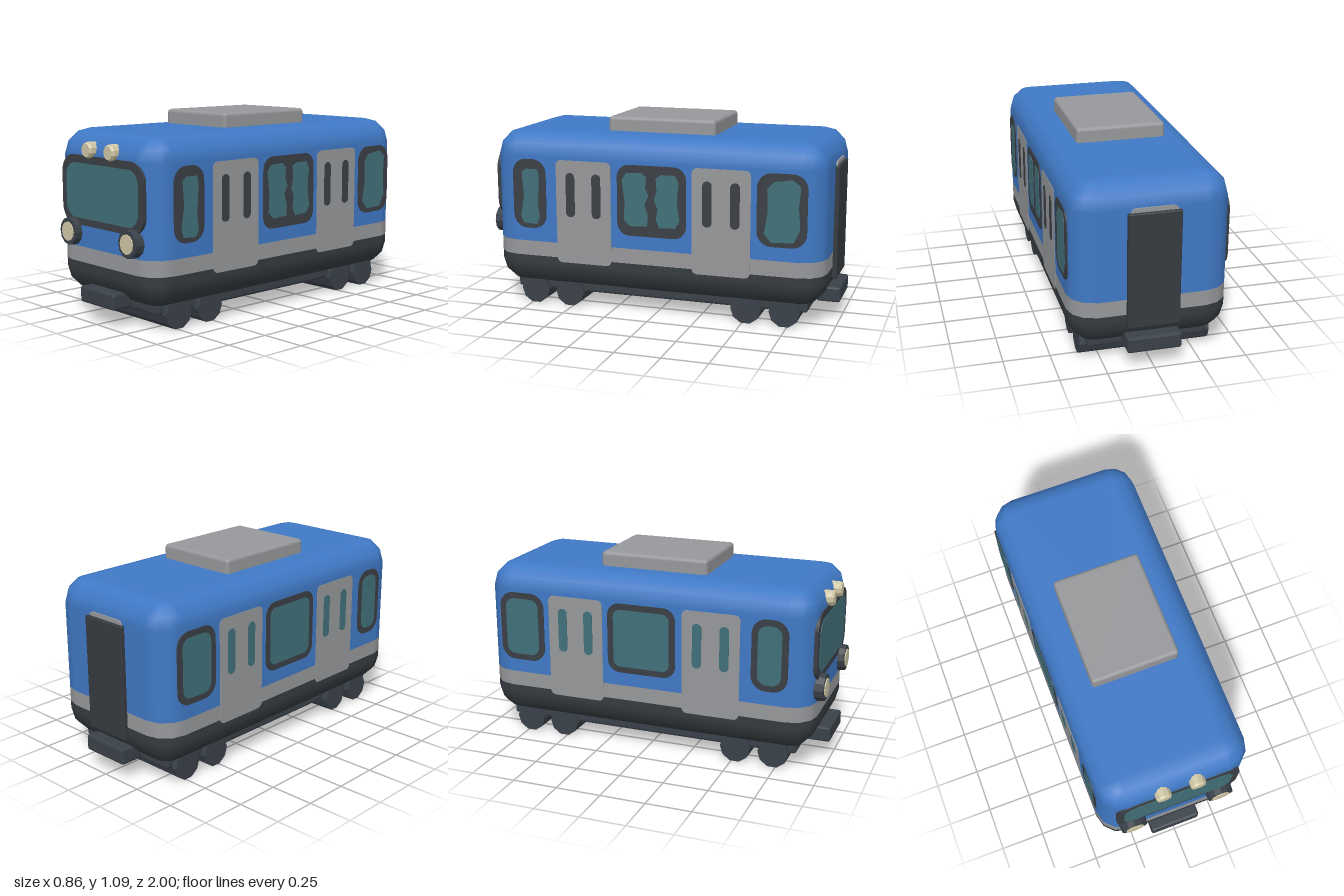
import * as THREE from 'three';
import { RoundedBoxGeometry } from 'three/addons/geometries/RoundedBoxGeometry.js';

const mat = (name, color, extra = {}) => {
  const m = new THREE.MeshStandardMaterial({ color, ...extra });
  m.name = name;
  return m;
};

export function createModel() {
  const blue = mat('bluePaint', 0x4079c6);
  const grey = mat('greyPaint', 0x97989b);
  const skirt = mat('darkSkirt', 0x363b40);
  const rubber = mat('windowRubber', 0x3b3f45);
  const iron = mat('chassisIron', 0x3a4149, { flatShading: true });
  const glass = mat('tealGlass', 0x417079);
  const cream = mat('lampCream', 0xcfc7a6, { flatShading: true });

  const train = new THREE.Group();
  train.name = 'railcar';
  const add = (name, geo, material, x = 0, y = 0, z = 0) => {
    const mesh = new THREE.Mesh(geo, material);
    mesh.name = name;
    mesh.position.set(x, y, z);
    train.add(mesh);
    return mesh;
  };

  // Body shell: rounded box made of stacked rounded rectangles, split into bands
  const W = 0.424, L = 0.952, R = 0.14, Y0 = 0.12, Y1 = 1.01;
  const row = (deg, y) => ({ a: THREE.MathUtils.degToRad(deg), y });
  const arc = (from, base) => [0, 30, 60, 90].map((d) => {
    const a = THREE.MathUtils.degToRad(from + d);
    return { a, y: base + R * Math.sin(a) };
  });
  const band = (rows) => {
    const pos = [], nor = [], idx = [], n = 17;
    for (const { a, y, cap } of rows) {
      for (let j = 0; j < n; j++) {
        const c = Math.floor((j % 16) / 4), k = j % 4;
        const t = (c * 90 + k * 30) * Math.PI / 180;
        const sx = c === 0 || c === 3 ? 1 : -1, sz = c < 2 ? 1 : -1;
        const r = R * Math.cos(a);
        pos.push(cap ? 0 : sx * (W - R) + r * Math.cos(t), y, cap ? 0 : sz * (L - R) + r * Math.sin(t));
        nor.push(Math.cos(a) * Math.cos(t), Math.sin(a), Math.cos(a) * Math.sin(t));
      }
    }
    for (let i = 0; i < rows.length - 1; i++) {
      for (let j = 0; j < n - 1; j++) {
        const p = i * n + j, q = p + n;
        idx.push(p, q, p + 1, p + 1, q, q + 1);
      }
    }
    const g = new THREE.BufferGeometry();
    g.setAttribute('position', new THREE.Float32BufferAttribute(pos, 3));
    g.setAttribute('normal', new THREE.Float32BufferAttribute(nor, 3));
    g.setIndex(idx);
    return g;
  };
  const low = row(0, 0.3), mid = row(0, 0.385);
  add('lowerSkirt', band([{ ...row(-90, Y0), cap: true }, ...arc(-90, Y0 + R), low]), skirt);
  add('bodyStripe', band([low, mid]), grey);
  add('upperBody', band([mid, ...arc(0, Y1 - R), { ...row(90, Y1), cap: true }]), blue);

  // Flat panels
  const roundRect = (cx, cy, w, h, r) => {
    const s = new THREE.Shape(), x = w / 2 - r, y = h / 2 - r, q = Math.PI / 2;
    s.absarc(cx + x, cy + y, r, 0, q);
    s.absarc(cx - x, cy + y, r, q, 2 * q);
    s.absarc(cx - x, cy - y, r, 2 * q, 3 * q);
    s.absarc(cx + x, cy - y, r, 3 * q, 4 * q);
    s.closePath();
    return s;
  };
  const plate = (shape, depth) =>
    new THREE.ExtrudeGeometry(shape, { depth, bevelEnabled: false, curveSegments: 5 });
  const sidePlate = (name, side, shape, depth, material) =>
    add(name, plate(shape, depth).rotateY(side * Math.PI / 2), material, side * 0.42);

  // Side windows: centre z, width, corner radius; the +x side has uneven panes
  const windows = [[0.72, 0.2, 0.08], [-0.003, 0.395, 0.07], [-0.725, 0.27, 0.08]];
  const panes = [
    [[0.765, 0.78], [0.74, 0.8], [0.67, 0.8], [0.66, 0.76], [0.67, 0.6], [0.66, 0.52], [0.68, 0.485],
      [0.76, 0.49], [0.775, 0.53], [0.755, 0.65]],
    [[0.165, 0.77], [0.14, 0.81], [0.05, 0.815], [0.025, 0.79], [0.03, 0.73], [0.012, 0.69], [0.035, 0.64],
      [0.015, 0.58], [0.02, 0.52], [0.12, 0.515], [0.155, 0.55], [0.15, 0.65]],
    [[-0.03, 0.79], [-0.06, 0.81], [-0.14, 0.81], [-0.16, 0.77], [-0.15, 0.66], [-0.165, 0.56], [-0.14, 0.52],
      [-0.05, 0.515], [-0.03, 0.56], [-0.04, 0.62], [-0.02, 0.67], [-0.035, 0.72]],
    [[-0.645, 0.77], [-0.68, 0.81], [-0.78, 0.825], [-0.825, 0.79], [-0.815, 0.68], [-0.825, 0.56],
      [-0.79, 0.49], [-0.67, 0.485], [-0.63, 0.53], [-0.65, 0.65]],
  ];
  for (const side of [1, -1]) {
    for (const [z, w, r] of windows) {
      sidePlate('sideWindowFrame', side, roundRect(-side * z, 0.658, w, 0.395, r), 0.007, rubber);
      if (side < 0) {
        sidePlate('sideWindowGlass', side, roundRect(z, 0.658, w - 0.07, 0.325, r - 0.03), 0.0095, glass);
      }
    }
    // Double doors with slot windows
    for (const z of [0.395, -0.395]) {
      sidePlate('sideDoor', side, roundRect(-side * z, 0.567, 0.325, 0.585, 0.03), 0.0065, grey);
      for (const dz of [-0.077, 0.077]) {
        sidePlate('doorSlot', side, roundRect(-side * (z + dz), 0.665, 0.052, 0.25, 0.025), 0.0095,
          side > 0 ? rubber : glass);
      }
    }
  }
  for (const pts of panes) {
    const shape = new THREE.Shape(pts.map(([z, y]) => new THREE.Vector2(-z, y)));
    sidePlate('sideWindowPane', 1, shape, 0.0095, glass);
  }

  // Windscreen
  add('windscreenFrame', plate(roundRect(0, 0.69, 0.7, 0.375, 0.1), 0.021), rubber, 0, 0, 0.935);
  add('windscreenGlass', plate(roundRect(0, 0.688, 0.62, 0.295, 0.08), 0.008), glass, 0, 0, 0.951);

  // Lamps
  const disc = (r1, r2, len, sides) => new THREE.CylinderGeometry(r1, r2, len, sides).rotateX(Math.PI / 2);
  for (const s of [-1, 1]) {
    add('headlightRim', disc(0.074, 0.08, 0.07, 12), iron, s * 0.258, 0.463, 0.955);
    add('headlightLens', disc(0.052, 0.052, 0.02, 12), cream, s * 0.258, 0.463, 0.986);
    add('roofLampBody', disc(0.044, 0.044, 0.05, 10), cream, s * 0.096, 0.91, 0.944);
    add('roofLampLens', disc(0.036, 0.044, 0.012, 10), cream, s * 0.096, 0.91, 0.975);
  }

  // Roof unit
  add('roofUnit', new RoundedBoxGeometry(0.49, 0.1, 0.62, 2, 0.02), grey, 0, 1.04, 0);

  // Rear door with its surround
  add('rearDoorSurround', plate(roundRect(0, 0.575, 0.25, 0.61, 0.03), 0.009), grey, 0, 0, -0.959);
  add('rearDoor', new RoundedBoxGeometry(0.28, 0.63, 0.03, 1, 0.008), skirt, 0, 0.543, -0.962);

  // Chassis, couplers and wheel rollers
  add('chassis', new RoundedBoxGeometry(0.65, 0.07, 1.71, 1, 0.015), iron, 0, 0.114, 0);
  for (const s of [-1, 1]) {
    add('coupler', new RoundedBoxGeometry(0.29, 0.088, 0.13, 1, 0.012), iron, 0, 0.142, s * 0.935);
    for (const z of [0.519, 0.733]) {
      const roller = new THREE.CylinderGeometry(0.085, 0.085, 0.71, 10).rotateY(Math.PI / 10).rotateZ(Math.PI / 2);
      // Turn each roller so that it rests on a flat face
      roller.computeBoundingBox();
      if (roller.boundingBox.max.y > 0.083) roller.rotateX(Math.PI / 10);
      add('wheelRoller', roller, iron, 0, 0.081, s * z);
    }
  }
  return train;
}
